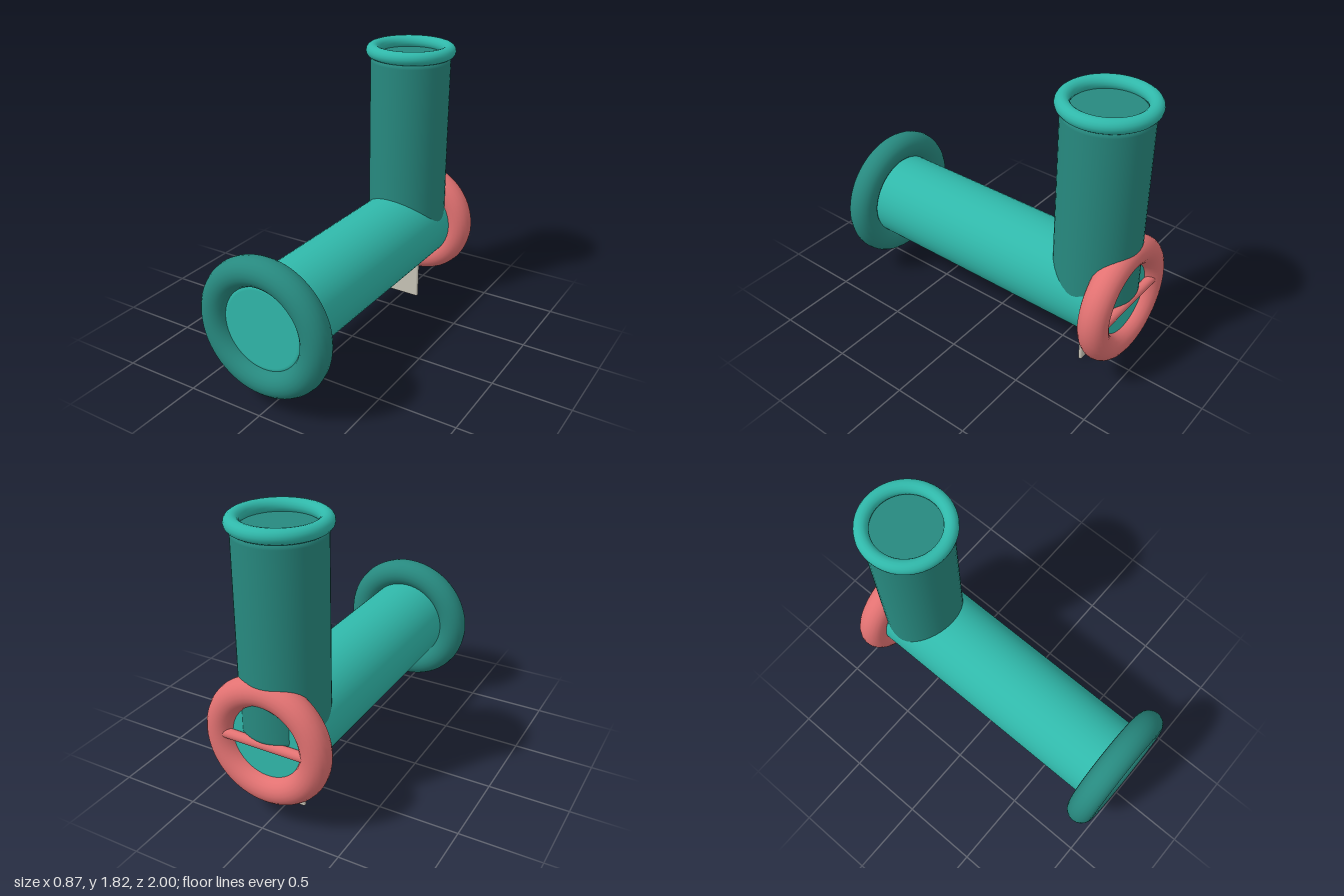
import * as THREE from 'three';
import { RoundedBoxGeometry } from 'three/addons/geometries/RoundedBoxGeometry.js';

const material = (name, color) => {
  const m = new THREE.MeshStandardMaterial({ color });
  m.name = name;
  return m;
};

// Closed cylinder along y from y0 to y1 with rounded rims
function roundedPipe(radius, y0, y1, bevel) {
  const points = [new THREE.Vector2(0, y0), new THREE.Vector2((radius - bevel) * 0.98, y0)];
  const arc = (cy, from) => {
    for (let i = 0; i <= 6; i++) {
      const a = from + (i / 6) * Math.PI / 2;
      points.push(new THREE.Vector2(radius - bevel + bevel * Math.cos(a), cy + bevel * Math.sin(a)));
    }
  };
  arc(y0 + bevel, -Math.PI / 2);
  arc(y1 - bevel, 0);
  points.push(new THREE.Vector2((radius - bevel) * 0.98, y1), new THREE.Vector2(0, y1));
  return new THREE.LatheGeometry(points, 48);
}

export function createModel() {
  const group = new THREE.Group();
  const teal = material('teal', 0x30b8aa);
  const darkTeal = material('dark teal', 0x27897f);
  const coral = material('coral', 0xe27272);
  const stone = material('stone', 0xc9c5b8);

  const add = (name, geometry, mat, x, y, z) => {
    const mesh = new THREE.Mesh(geometry, mat);
    mesh.name = name;
    mesh.position.set(x, y, z);
    group.add(mesh);
    return mesh;
  };

  const axisY = 0.54;
  const stackZ = -0.71;

  // Horizontal body and its front collar
  add('mainPipe', roundedPipe(0.275, -0.92, 0.94, 0.03), teal, 0, axisY, 0).rotation.x = Math.PI / 2;
  add('frontRing', new THREE.TorusGeometry(0.345, 0.09, 20, 64), darkTeal, 0, axisY, 0.91);

  // Upright pipe with a rim
  add('uprightPipe', roundedPipe(0.26, 0.54, 1.745, 0.04), darkTeal, 0, 0, stackZ);
  add('topRim', new THREE.TorusGeometry(0.247, 0.043, 16, 64), teal, 0, 1.772, stackZ).rotation.x = Math.PI / 2;

  // Rear handwheel and crossbar
  add('rearRing', new THREE.TorusGeometry(0.31, 0.09, 20, 64), coral, 0, axisY, -0.9);
  add('crossbar', new THREE.CylinderGeometry(0.03, 0.03, 0.56, 20), coral, 0, axisY, -0.945).rotation.z = Math.PI / 2;

  // Flat foot
  add('foot', new RoundedBoxGeometry(0.225, 0.35, 0.026, 3, 0.012), stone, 0, 0.175, -0.705);

  return group;
}
